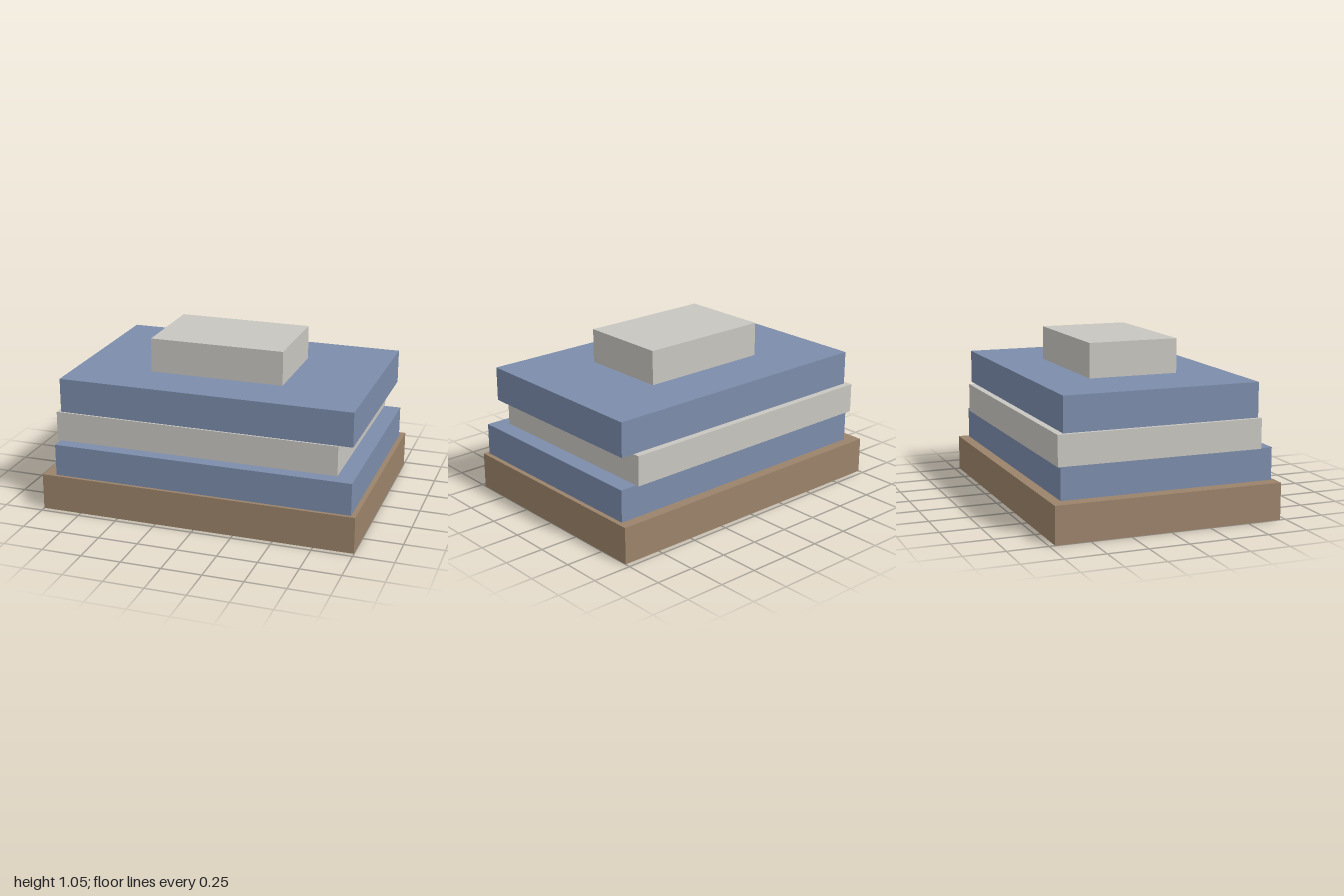
import * as THREE from 'three';

// One flat material per colour
function material(name, color) {
  const m = new THREE.MeshStandardMaterial({ color });
  m.name = name;
  return m;
}

export function createModel() {
  const brown = material('brown', 0x9b836a);
  const blue = material('blue', 0x7b8cab);
  const grey = material('lightGrey', 0xc8c6c0);

  // Stacked slabs: name, material, x range, y range, z range
  const slabs = [
    ['base', brown, [-1, 1], [0, 0.23], [-0.715, 0.715]],
    ['lowerSlab', blue, [-0.914, 0.97], [0.23, 0.431], [-0.65, 0.694]],
    ['middleSlab', grey, [-0.934, 0.862], [0.431, 0.617], [-0.672, 0.612]],
    ['upperSlab', blue, [-0.909, 0.947], [0.617, 0.832], [-0.63, 0.6]],
    ['topBlock', grey, [-0.427, 0.425], [0.832, 1.047], [-0.287, 0.285]],
  ];

  const model = new THREE.Group();
  model.name = 'steppedStack';
  for (const [name, mat, x, y, z] of slabs) {
    const geometry = new THREE.BoxGeometry(x[1] - x[0], y[1] - y[0], z[1] - z[0]);
    const mesh = new THREE.Mesh(geometry, mat);
    mesh.name = name;
    mesh.position.set((x[0] + x[1]) / 2, (y[0] + y[1]) / 2, (z[0] + z[1]) / 2);
    model.add(mesh);
  }
  return model;
}
